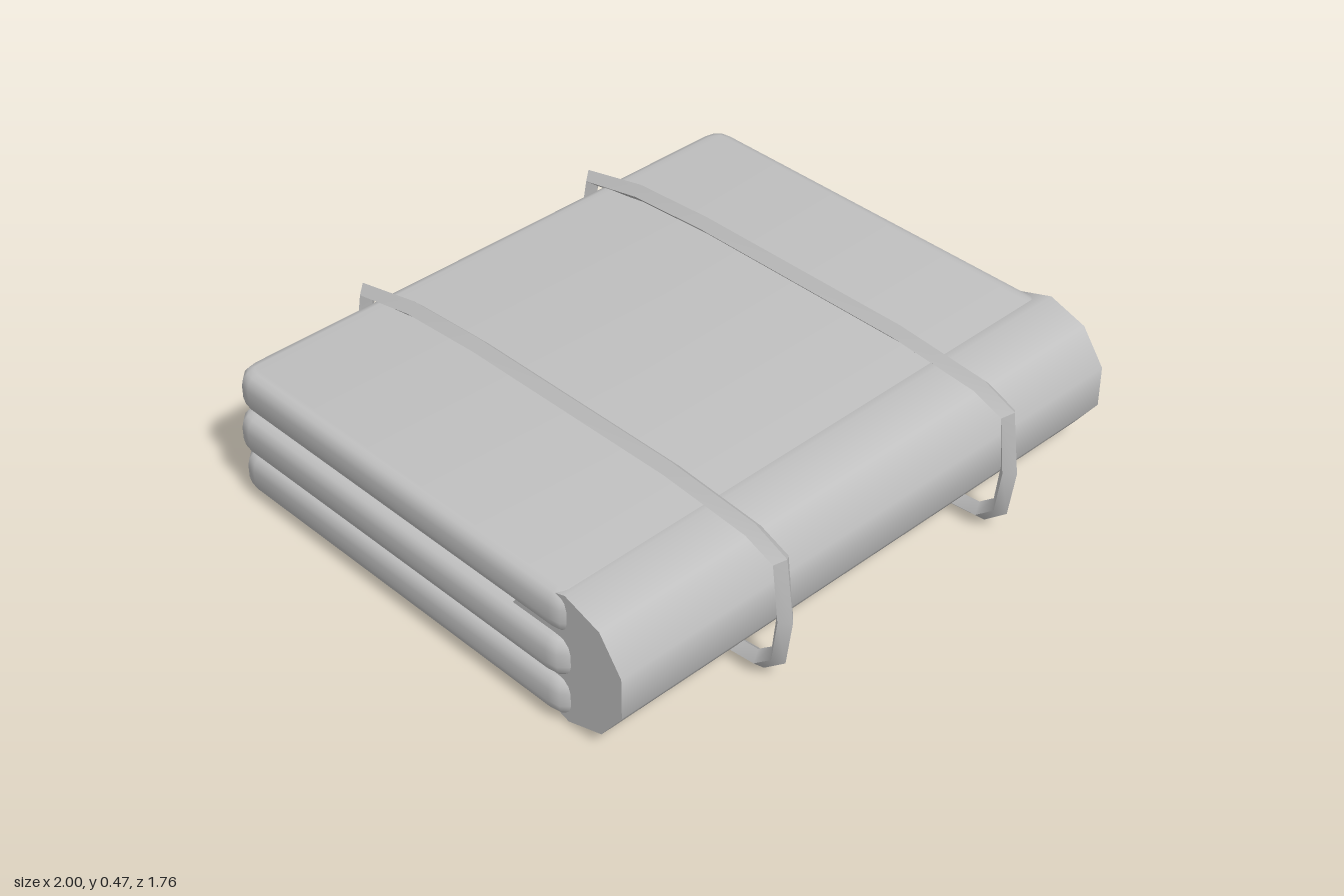
import * as THREE from 'three';
import { toCreasedNormals } from 'three/addons/utils/BufferGeometryUtils.js';

// Folded pad: rounded outline extruded with a soft bevelled rim, centred on its own origin
function padGeometry(width, depth, height) {
  const bevel = 0.032, rim = 0.04, cut = 0.035;
  const x = width / 2 - bevel, y = depth / 2 - bevel;
  const s = new THREE.Shape();
  s.moveTo(-x + cut, -y);
  s.lineTo(x - cut, -y);
  s.quadraticCurveTo(x, -y, x, -y + cut);
  s.lineTo(x, y - cut);
  s.quadraticCurveTo(x, y, x - cut, y);
  s.lineTo(-x + cut, y);
  s.quadraticCurveTo(-x, y, -x, y - cut);
  s.lineTo(-x, -y + cut);
  s.quadraticCurveTo(-x, -y, -x + cut, -y);
  const g = new THREE.ExtrudeGeometry(s, {
    depth: height - 2 * rim, bevelEnabled: true, bevelSize: bevel,
    bevelThickness: rim, bevelSegments: 3, curveSegments: 3,
  });
  g.translate(0, 0, -(height - 2 * rim) / 2);
  g.rotateX(-Math.PI / 2);
  return toCreasedNormals(g, 0.7);
}

// Strap: a diamond section swept round a closed loop of (depth, height) points
function strapGeometry(r) {
  const loop = [
    [0.81, 0.22], [0.785, 0.4], [0.68, 0.445], [0.4, 0.468], [-0.3, 0.468],
    [-0.56, 0.453], [-0.775, 0.405], [-0.815, 0.22], [-0.785, 0.07],
    [-0.72, 0.03], [-0.55, 0.002], [0.55, 0.002], [0.72, 0.02], [0.79, 0.08],
  ].map(([x, y]) => new THREE.Vector2(x, y));
  const n = loop.length;
  const g = new THREE.TorusGeometry(1, 0.1, 4, n);
  const p = g.attributes.position;
  for (let j = 0; j <= 4; j++) {
    const v = (j / 4) * Math.PI * 2;
    for (let i = 0; i <= n; i++) {
      const here = loop[i % n];
      const t = loop[(i + 1) % n].clone().sub(here).normalize()
        .add(here.clone().sub(loop[(i + n - 1) % n]).normalize()).normalize();
      const out = r * (Math.cos(v) - 1); // outer ridge lies on the loop
      p.setXYZ(j * (n + 1) + i, here.x + t.y * out, here.y - t.x * out, r * Math.sin(v));
    }
  }
  g.rotateY(-Math.PI / 2);
  return toCreasedNormals(g, 0.6);
}

export function createModel() {
  const model = new THREE.Group();
  model.name = 'strappedBedroll';
  const cloth = new THREE.MeshStandardMaterial({ color: 0xc0c0c0 });
  cloth.name = 'greyCloth';

  const bundle = new THREE.Group();
  bundle.name = 'bundle';
  bundle.rotation.y = 0.211;
  model.add(bundle);

  const add = (name, geometry, x, y, z) => {
    const m = new THREE.Mesh(geometry, cloth);
    m.name = name;
    m.position.set(x, y, z);
    bundle.add(m);
    return m;
  };

  // Three stacked folds, very slightly uneven
  const pad = padGeometry(1.735, 1.265, 0.117);
  add('lowerFold', pad, -0.008, 0.083, -0.085).rotation.z = -0.002;
  add('middleFold', pad, -0.012, 0.21, -0.085);
  add('upperFold', pad, 0, 0.335, -0.083).rotation.z = -0.004;

  // Rolled edge along the front
  const roll = new THREE.CylinderGeometry(0.195, 0.195, 1.72, 10);
  roll.rotateY(Math.PI / 2);
  roll.rotateZ(Math.PI / 2);
  add('roll', roll, 0.01, 0.207, 0.525);

  // Two straps round the bundle
  const strap = strapGeometry(0.026);
  add('rightStrap', strap, -0.393, 0, 0);
  add('leftStrap', strap, 0.415, 0, 0);

  return model;
}
